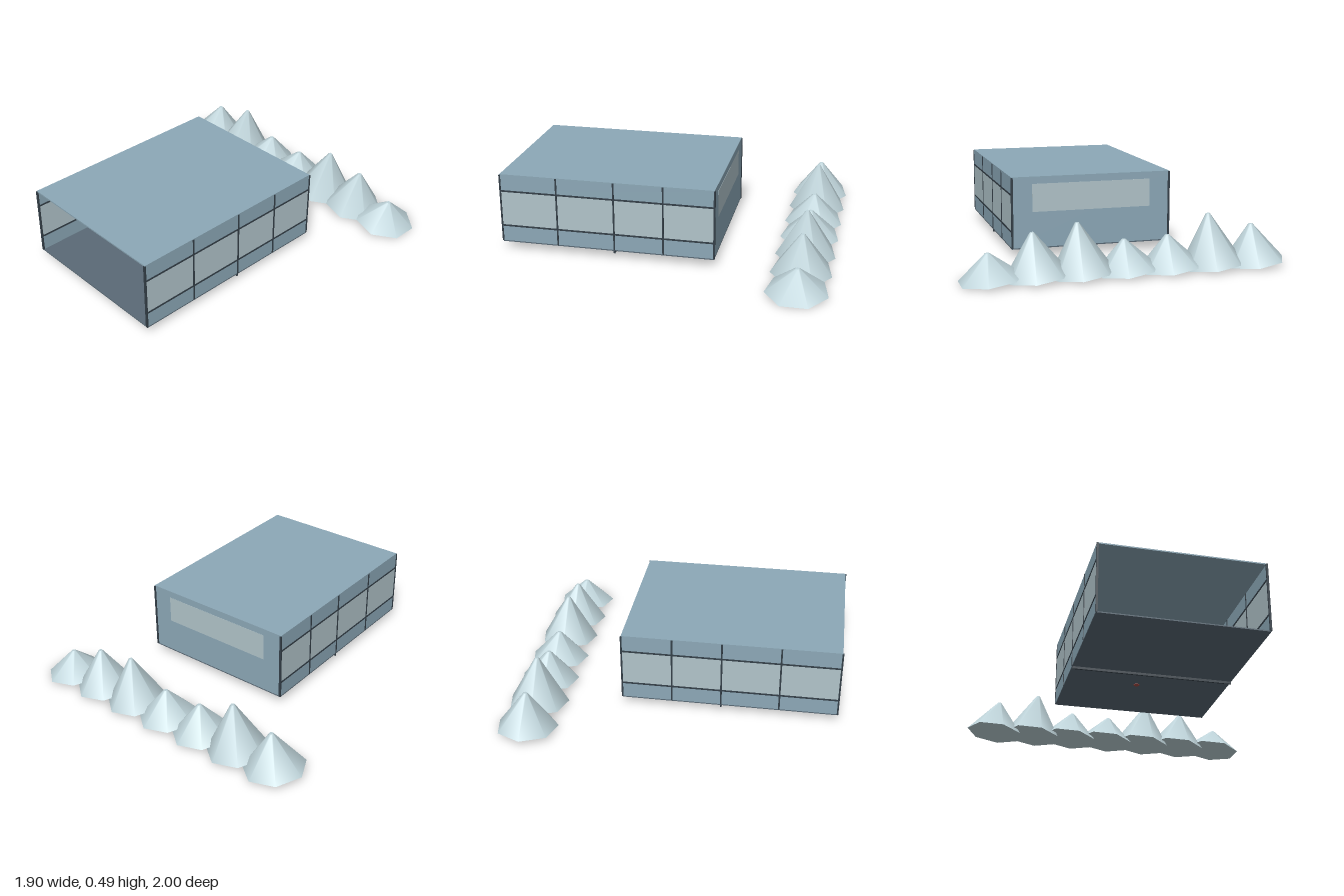
import * as THREE from 'three';

const mat = (name, color, side = THREE.FrontSide) => {
  const m = new THREE.MeshStandardMaterial({ color, side });
  m.name = name;
  return m;
};

export function createModel() {
  const root = new THREE.Group();
  const wall = mat('blue wall', 0x8ca8b7);
  const glass = mat('pale glass', 0xb1c4ca);
  const snow = mat('snow', 0xbfd4da);
  const frame = mat('dark frame', 0x343f48);
  const floorMat = mat('slate floor', 0x5a6a76);
  const red = mat('red', 0xa84c45);
  const gold = mat('gold', 0xb8935a);
  const steel = mat('steel blue', 0x7894a4);

  // Box given by its extents along each axis
  const box = (name, m, [x0, x1], [y0, y1], [z0, z1], parent = root) => {
    const mesh = new THREE.Mesh(new THREE.BoxGeometry(x1 - x0, y1 - y0, z1 - z0), m);
    mesh.name = name;
    mesh.position.set((x0 + x1) / 2, (y0 + y1) / 2, (z0 + z1) / 2);
    parent.add(mesh);
    return mesh;
  };

  // Room shell, open at the front
  const X0 = -0.435, X1 = 0.553, Z0 = -0.31, Z1 = 0.995, T = 0.006;
  const cx = (X0 + X1) / 2;
  box('floor', floorMat, [X0, X1], [0.055, 0.062], [Z0, Z1]);
  box('roof', wall, [X0, X1], [0.482, 0.49], [Z0, Z1]);
  box('backWall', wall, [X0, X1], [0.062, 0.482], [Z0, Z0 + T]);
  box('floorRib', frame, [X0, X1], [0.04, 0.055], [0.289, 0.299]);

  // Side walls with a glass band, rails and mullions
  for (const [side, x] of [['right', X0], ['left', X1 - T]]) {
    const g = new THREE.Group();
    g.name = side + 'Wall';
    root.add(g);
    const xs = [x, x + T], proud = [x - 0.003, x + T + 0.003];
    box('lowerPanel', wall, xs, [0.062, 0.162], [Z0, Z1], g);
    box('windowBand', glass, xs, [0.162, 0.384], [Z0, Z1], g);
    box('upperPanel', wall, xs, [0.384, 0.482], [Z0, Z1], g);
    for (const y of [0.162, 0.384]) box('rail', frame, proud, [y - 0.005, y + 0.005], [Z0, Z1], g);
    for (const z of [Z0, -0.005, 0.294, 0.645, Z1]) {
      box('mullion', frame, proud, [0.06, 0.486], [z - 0.005, z + 0.005], g);
    }
  }

  // Back window: glass on both faces, frame on the inside
  box('backWindow', glass, [-0.308, 0.427], [0.277, 0.446], [Z0 - 0.001, Z0 + T + 0.002]);
  const border = (name, x0, x1, y0, y1, z, w) => {
    const zs = [z, z + 0.008];
    for (const y of [y0, y1]) box(name, frame, [x0 - w, x1 + w], [y - w, y + w], zs);
    for (const x of [x0, x1]) box(name, frame, [x - w, x + w], [y0 + w, y1 - w], zs);
  };
  border('backWindowFrame', -0.308, 0.427, 0.277, 0.446, Z0 + T, 0.005);

  // Small framed board on the back wall
  box('board', wall, [-0.357, -0.222], [0.143, 0.203], [Z0 + T, Z0 + T + 0.004]);
  border('boardFrame', -0.357, -0.222, 0.143, 0.203, Z0 + T, 0.004);

  // Row of upright slats, every third one red, the others with a gold line
  for (let i = 0; i < 13; i++) {
    const x = cx + (i - 6) * 0.0622;
    const isRed = i % 3 === 0;
    const w = isRed ? 0.019 : 0.017;
    box('slat', isRed ? red : steel, [x - w, x + w], [0.08, 0.373], [-0.27, -0.24]);
    if (!isRed) box('slatLine', gold, [x - 0.006, x + 0.006], [0.095, 0.35], [-0.24, -0.236]);
  }
  for (const x of [-0.337, 0.452]) box('hook', gold, [x - 0.004, x + 0.004], [0.31, 0.365], [-0.262, -0.248]);

  // Low bench with red and blue end bands
  box('bench', floorMat, [cx - 0.11, cx + 0.11], [0.062, 0.103], [0.06, 0.18]);
  for (const s of [-1, 1]) {
    const x = cx + s * 0.105;
    box('benchBand', red, [x - 0.006, x + 0.006], [0.062, 0.1], [0.18, 0.184]);
    box('benchStripe', steel, [x - s * 0.014 - 0.006, x - s * 0.014 + 0.006], [0.062, 0.1], [0.18, 0.184]);
  }
  const stud = new THREE.Mesh(new THREE.CylinderGeometry(0.018, 0.018, 0.004, 12), red);
  stud.name = 'floorStud';
  stud.position.set(0, 0.0535, 0.12);
  root.add(stud);

  // Hanging shirt
  const half = [[0.028, 0.06], [0.05, 0.06], [0.08, 0.028], [0.068, 0.006], [0.054, 0.014], [0.054, -0.055]];
  const outline = [...half, ...half.map(([x, y]) => [-x, y]).reverse()];
  const shirtShape = new THREE.Shape(outline.map(([x, y]) => new THREE.Vector2(x, y)));
  const shirt = new THREE.Mesh(
    new THREE.ExtrudeGeometry(shirtShape, { depth: 0.02, bevelEnabled: false }), red);
  shirt.name = 'shirt';
  shirt.position.set(0.405, 0.228, -0.225);
  root.add(shirt);
  box('shirtPatch', steel, [0.411, 0.427], [0.195, 0.215], [-0.205, -0.202]);

  // Row of tilted snowy peaks behind the room
  [0.245, 0.32, 0.21, 0.2, 0.31, 0.27, 0.17].forEach((top, i) => {
    const h = top - 0.022;
    const geo = new THREE.CylinderGeometry(0.012, 0.185, h, 7, 1, false, -Math.PI / 2);
    geo.translate(0, h / 2, 0);
    const peak = new THREE.Mesh(geo, snow);
    peak.name = 'peak';
    peak.position.set(-0.77 + i * 0.258, 0.022, -0.82);
    peak.rotation.z = -0.11;
    root.add(peak);
  });

  return root;
}
